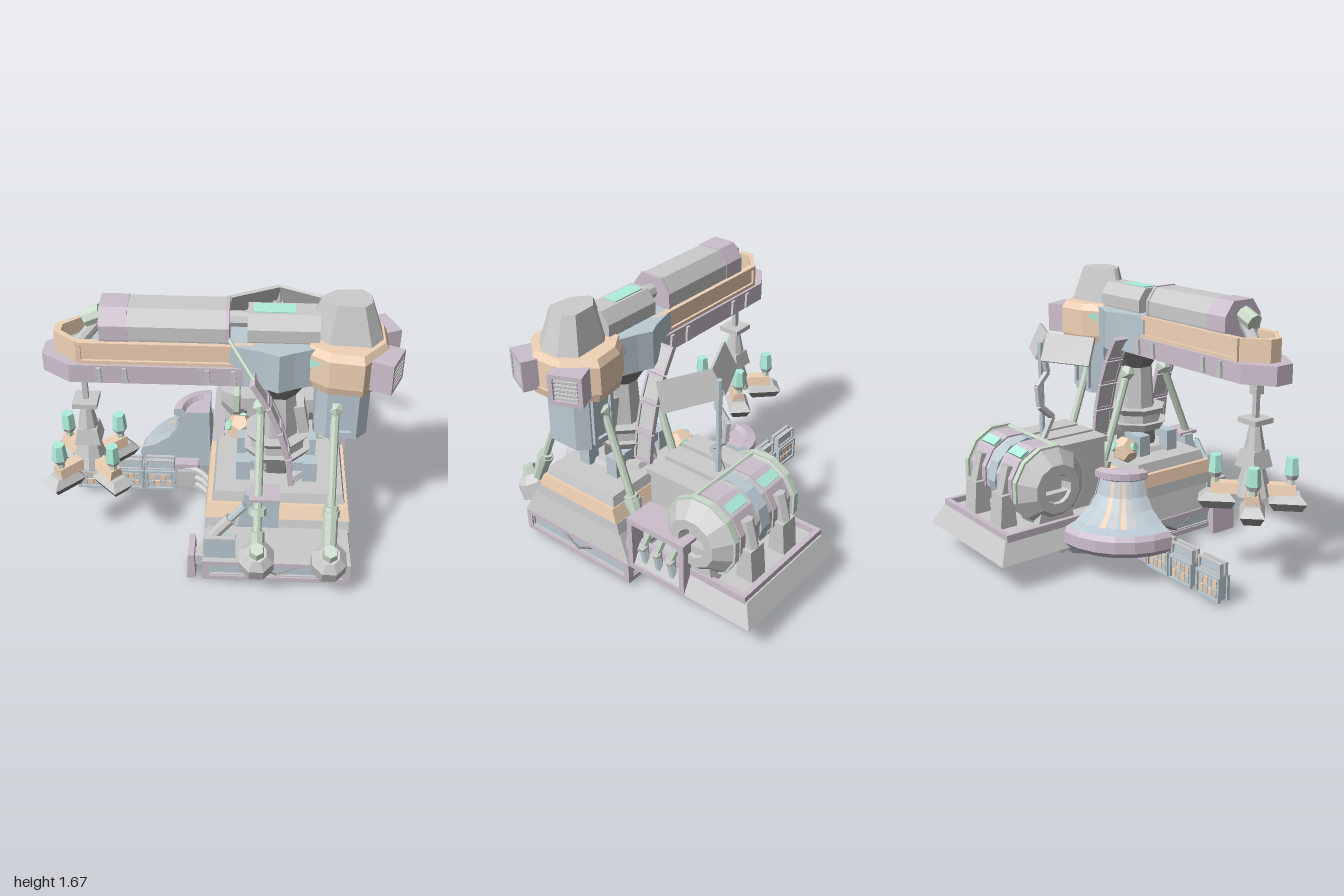
import * as THREE from 'three';

const mat = (c) => new THREE.MeshStandardMaterial({ color: c, flatShading: true, side: THREE.DoubleSide });
const GREY = mat(0xcccccc), MAUVE = mat(0xcdbfcd), TAN = mat(0xf0d2b6), BLUE = mat(0xbccbd4),
  GREEN = mat(0xcbdccb), TEAL = mat(0xb0f0dc), DARK = mat(0x808080);
const V = (x, y, z) => new THREE.Vector3(x, y, z);

function add(g, name, geo, m, p = [0, 0, 0], r = [0, 0, 0]) {
  const o = new THREE.Mesh(geo, m);
  o.name = name; o.position.set(...p); o.rotation.set(...r);
  g.add(o);
  return o;
}
function sub(g, name, p = [0, 0, 0], r = [0, 0, 0]) {
  const o = new THREE.Group();
  o.name = name; o.position.set(...p); o.rotation.set(...r);
  g.add(o);
  return o;
}
// box from its limits, with the top scaled by tx, tz
function box(g, name, m, x0, x1, y0, y1, z0, z1, tx = 1, tz = 1) {
  const geo = new THREE.BoxGeometry(x1 - x0, y1 - y0, z1 - z0), a = geo.attributes.position;
  for (let i = 0; i < a.count; i++) if (a.getY(i) > 0) { a.setX(i, a.getX(i) * tx); a.setZ(i, a.getZ(i) * tz); }
  return add(g, name, geo, m, [(x0 + x1) / 2, (y0 + y1) / 2, (z0 + z1) / 2]);
}
// upright prism over half a plan [x, z offset], mirrored about the line z = cz, top scaled about cx
const mirrored = (half) => [...half.map(([x, z]) => new THREE.Vector2(x, -z)), ...half.slice().reverse().map((q) => new THREE.Vector2(...q))];
function prism(g, name, m, half, cz, y0, y1, s = 1, cx = 0, hole = null) {
  const shape = new THREE.Shape(mirrored(half));
  if (hole) shape.holes.push(new THREE.Path(mirrored(hole)));
  const geo = new THREE.ExtrudeGeometry(shape, { depth: y1 - y0, bevelEnabled: false }).rotateX(-Math.PI / 2);
  const a = geo.attributes.position;
  for (let i = 0; i < a.count; i++) if (a.getY(i) > 0.001) { a.setX(i, cx + (a.getX(i) - cx) * s); a.setZ(i, a.getZ(i) * s); }
  return add(g, name, geo, m, [0, y0, cz]);
}
const cyl = (g, name, m, r1, r0, h, n, p, r) => add(g, name, new THREE.CylinderGeometry(r1, r0, h, n), m, p, r);
function rod(g, name, m, a, b, r, n = 6) {
  const d = b.clone().sub(a), o = cyl(g, name, m, r, r, d.length(), n, a.clone().add(b).multiplyScalar(0.5).toArray());
  o.quaternion.setFromUnitVectors(V(0, 1, 0), d.normalize());
  return o;
}
// rectangular frame facing +z
function frame(g, name, m, w, h, t, d, p, r) {
  const rect = (C, a, b) => new C([[-a, -b], [a, -b], [a, b], [-a, b]].map((q) => new THREE.Vector2(...q)));
  const s = rect(THREE.Shape, w / 2, h / 2);
  s.holes.push(rect(THREE.Path, w / 2 - t, h / 2 - t));
  return add(g, name, new THREE.ExtrudeGeometry(s, { depth: d, bevelEnabled: false }).translate(0, 0, -d / 2), m, p, r);
}
const profile = (pts) => new THREE.Shape(pts.map((q) => new THREE.Vector2(...q)));

function base(root) {
  const g = sub(root, 'base'), cx = 0.365, cz = 0.345;
  box(g, 'plinth', BLUE, -0.04, 0.77, 0.07, 0.18, -0.06, 0.75);
  // framed side panels with a chevron
  for (let i = 0; i < 4; i++) {
    const s = sub(g, 'sidePanel', [cx, 0.105, cz], [0, i * Math.PI / 2, 0]);
    frame(s, 'panelFrame', MAUVE, 0.85, 0.14, 0.03, 0.04, [0, 0, 0.405]);
    frame(s, 'panelInnerFrame', GREY, 0.77, 0.08, 0.008, 0.012, [0, 0, 0.41]);
    for (const k of [-1, 1]) rod(s, 'chevron', DARK, V(0, -0.03, 0.41), V(k * 0.13, 0.035, 0.41), 0.008, 4);
    rod(s, 'undersideRib', GREY, V(0, -0.06, 0.1), V(0, -0.06, 0.4), 0.025, 4);
    rod(s, 'undersideBrace', BLUE, V(0.1, -0.06, 0.1), V(0.39, -0.06, 0.39), 0.022, 4);
  }
  frame(g, 'undersideSquare', MAUVE, 0.3, 0.3, 0.04, 0.03, [cx, 0.05, cz], [Math.PI / 2, 0, 0]);
  cyl(g, 'centreFoot', DARK, 0.07, 0.03, 0.06, 8, [cx, 0.03, cz]);
  // stepped deck
  box(g, 'lowerSkirt', GREY, -0.06, 0.79, 0.18, 0.36, -0.08, 0.77, 0.93, 0.78);
  box(g, 'deckStep', GREY, -0.05, 0.77, 0.34, 0.41, 0.0, 0.67, 0.99, 0.95);
  box(g, 'deckBand', TAN, -0.05, 0.77, 0.41, 0.49, 0.02, 0.65, 0.97, 0.89);
  box(g, 'deckTop', GREY, -0.01, 0.74, 0.49, 0.55, 0.06, 0.6, 0.96, 0.94);
  for (const x of [0.05, 0.62]) box(g, 'skirtBlock', GREY, x, x + 0.07, 0.2, 0.3, 0.68, 0.76, 1, 0.5);
  for (const z of [0.12, 0.5]) box(g, 'skirtBlockSide', GREY, 0.7, 0.78, 0.2, 0.3, z, z + 0.07, 0.5, 1);
  // curved buttress on the front right corner
  add(g, 'buttress', new THREE.ExtrudeGeometry(profile([[-0.06, 0.19], [-0.04, 0.24], [0.06, 0.28], [0.14, 0.38],
    [0.18, 0.6], [0.37, 0.6], [0.37, 0.3], [0.3, 0.19]]), { depth: 0.07, bevelEnabled: false }), BLUE, [0, 0, 0.6]);
  box(g, 'buttressCap', MAUVE, 0.2, 0.37, 0.59, 0.61, 0.58, 0.72);
  rod(g, 'ram', GREY, V(0.0, 0.32, 0.7), V(0.1, 0.45, 0.7), 0.035, 8);
  rod(g, 'ramRod', BLUE, V(0.1, 0.45, 0.7), V(0.18, 0.55, 0.7), 0.022, 8);
  box(g, 'cornerPlate', MAUVE, -0.15, -0.1, 0.02, 0.2, 0.57, 0.75, 0.7, 1);
  box(g, 'cornerBracket', GREY, -0.12, -0.03, 0.08, 0.15, 0.62, 0.7);
  box(g, 'cornerBox', BLUE, -0.05, 0.13, 0.18, 0.33, 0.6, 0.76);
  frame(g, 'cornerBoxRim', GREY, 0.18, 0.16, 0.025, 0.02, [0.04, 0.335, 0.68], [Math.PI / 2, 0, 0]);
  // angled brackets round the mast
  for (const sx of [-1, 1]) for (const sz of [-1, 1]) {
    const x = 0.35 + sx * 0.19, z = 0.33 + sz * 0.11;
    box(g, 'bracketLeg', BLUE, x - 0.04, x + 0.04, 0.53, 0.68, z - 0.04, z + 0.04);
    box(g, 'bracketArm', BLUE, x - sx * 0.07 - 0.06, x - sx * 0.07 + 0.06, 0.62, 0.68, z - 0.03, z + 0.03);
  }
  // faceted ball
  add(g, 'facetBall', new THREE.DodecahedronGeometry(0.085), TAN, [0.13, 0.62, 0.07]);
  for (const [x, z] of [[0.06, 0.1], [0.16, 0], [0.2, 0.1]]) rod(g, 'ballLens', TEAL, V(0.13, 0.62, 0.07), V(x, 0.65, z), 0.03, 8);
}

function mast(root) {
  const g = sub(root, 'mast', [0.35, 0, 0.33]);
  for (const [r0, r1, y0, y1, m] of [[0.22, 0.19, 0.53, 0.58, GREY], [0.13, 0.13, 0.58, 0.7, DARK], [0.17, 0.2, 0.68, 0.73, GREY],
    [0.16, 0.16, 0.73, 0.79, GREY], [0.16, 0.19, 0.78, 0.82, GREY], [0.12, 0.1, 0.8, 1.1, GREY], [0.1, 0.19, 1.08, 1.22, DARK]])
    cyl(g, 'mastSection', m, r1, r0, y1 - y0, 8, [0, (y0 + y1) / 2, 0], [0, Math.PI / 8, 0]);
  // curved strips of framed panels on both flanks
  const c = new THREE.QuadraticBezierCurve3(V(0.2, 1.31, 0), V(0.4, 1.02, 0), V(0.43, 0.63, 0));
  for (const z of [0.56, 0.105]) for (let i = 0; i < 4; i++) {
    const a = c.getPoint(i / 4), b = c.getPoint((i + 1) / 4), L = a.distanceTo(b) - 0.01;
    const s = sub(root, 'stripPanel', [(a.x + b.x) / 2, (a.y + b.y) / 2, z], [0, 0, Math.atan2(b.x - a.x, a.y - b.y)]);
    box(s, 'stripPlate', GREY, -0.01, 0.005, -L / 2, L / 2, -0.06, 0.06);
    frame(s, 'stripFrame', MAUVE, 0.125, L, 0.015, 0.03, [0, 0, 0], [0, Math.PI / 2, 0]);
  }
  rod(root, 'hose', GREEN, V(0.07, 1.48, 0.44), V(0.21, 1.31, 0.57), 0.012);
  add(root, 'mastFlap', new THREE.BoxGeometry(0.06, 0.18, 0.12), GREY, [0.48, 0.92, 0.33], [0, 0, 0.2]);
}

function boom(root) {
  const g = sub(root, 'boom'), cz = 0.32;
  prism(g, 'lowerBeam', MAUVE, [[-0.94, 0.06], [-0.78, 0.17], [0.25, 0.17]], cz, 1.21, 1.32);
  // open trough that holds the ram housing
  prism(g, 'trough', TAN, [[-0.87, 0.04], [-0.74, 0.14], [0.2, 0.14]], cz, 1.32, 1.45, 1, 0, [[-0.83, 0.03], [-0.73, 0.115], [0.18, 0.115]]);
  prism(g, 'troughFloor', BLUE, [[-0.84, 0.03], [-0.73, 0.12], [0.18, 0.12]], cz, 1.31, 1.36);
  for (const s of [-1, 1]) {
    frame(g, 'beamFrame', TAN, 0.92, 0.13, 0.02, 0.02, [-0.27, 1.385, cz + s * 0.145]);
    for (const x of [-0.62, -0.48, -0.04, 0.1]) box(g, 'beamRib', GREY, x - 0.02, x + 0.02, 1.22, 1.31, cz + s * 0.175 - 0.01, cz + s * 0.175 + 0.01, 0.6);
  }
  rod(g, 'tipArm', GREY, V(-0.74, 1.36, cz), V(-0.58, 1.56, cz), 0.035, 8);
  rod(g, 'tipJoint', GREEN, V(-0.7, 1.51, cz), V(-0.61, 1.55, cz), 0.05, 8);
  const hull = [[-0.11, 1.36], [0.11, 1.36], [0.13, 1.46], [0.13, 1.54], [0.07, 1.62], [-0.07, 1.62], [-0.13, 1.54], [-0.13, 1.46]];
  const along = (name, m, x0, x1, k) => add(g, name, new THREE.ExtrudeGeometry(profile(hull.map(([z, y]) => [z * k, 1.44 + (y - 1.44) * k])),
    { depth: x1 - x0, bevelEnabled: false }), m, [x0, 0, cz], [0, Math.PI / 2, 0]);
  along('housing', GREY, -0.52, 0.07, 1);
  along('housingFront', MAUVE, -0.61, -0.46, 1.03);
  along('housingRear', MAUVE, 0.055, 0.075, 1.03);
  rod(g, 'ramShaft', GREY, V(0.06, 1.53, cz), V(0.2, 1.53, cz), 0.045, 8);
  along('rearHousing', GREY, 0.17, 0.55, 0.87);
  box(g, 'topWindow', TEAL, 0.2, 0.42, 1.585, 1.602, cz - 0.045, cz + 0.045);
  // turntable house and rear cab
  prism(g, 'turntableHouse', BLUE, [[0.08, 0.15], [0.26, 0.2], [0.34, 0.24], [0.42, 0.2], [0.55, 0.15]], cz, 1.22, 1.45);
  prism(g, 'rearCabLower', TAN, [[0.5, 0.14], [0.6, 0.22], [0.78, 0.24], [0.92, 0.1]], cz, 1.21, 1.26, 1.06, 0.7);
  prism(g, 'rearCab', TAN, [[0.48, 0.15], [0.6, 0.235], [0.78, 0.262], [0.92, 0.1]], cz, 1.26, 1.42);
  prism(g, 'rearCabUpper', TAN, [[0.48, 0.15], [0.6, 0.235], [0.78, 0.262], [0.92, 0.1]], cz, 1.42, 1.46, 0.9, 0.7);
  prism(g, 'cabTower', GREY, [[0.48, 0.02], [0.6, 0.13], [0.82, 0.15], [0.89, 0.06]], cz, 1.45, 1.67, 0.64, 0.68);
  for (const s of [-1, 1]) {
    add(g, 'cabWindow', new THREE.ShapeGeometry(profile([[0, 0], [0.08, 0.05], [0, 0.06]])), TEAL, [0.5, 1.35, cz + s * 0.182], [0, -s * 0.62, 0]);
    // louvred vents
    const v = sub(g, 'vent', [0.9, 1.335, cz + s * 0.155], [0, -s * 0.42, 0]);
    box(v, 'ventBox', DARK, -0.1, 0.05, -0.08, 0.08, -0.08, 0.08);
    frame(v, 'ventFrame', MAUVE, 0.19, 0.18, 0.025, 0.14, [0, 0, 0], [0, Math.PI / 2, 0]);
    for (let i = 0; i < 5; i++) box(v, 'ventSlat', GREY, 0.04, 0.068, -0.056 + i * 0.025, -0.044 + i * 0.025, -0.065, 0.065);
  }
  // counterweight
  prism(g, 'counterweight', BLUE, [[0.55, 0.1], [0.61, 0.16], [0.78, 0.16], [0.84, 0.1]], cz, 0.87, 1.22);
  for (const s of [-1, 1]) frame(g, 'weightFrame', BLUE, 0.16, 0.3, 0.025, 0.03, [0.69, 1.05, cz + s * 0.165]);
}

function hook(root) {
  const g = sub(root, 'hook', [-0.735, 0, 0.32]);
  box(g, 'cable', GREY, -0.015, 0.015, 0.97, 1.21, -0.015, 0.015);
  box(g, 'cableSheath', GREY, -0.028, 0.028, 1.12, 1.21, -0.028, 0.028);
  box(g, 'collar', GREY, -0.07, 0.07, 0.955, 0.985, -0.07, 0.07);
  cyl(g, 'neck', GREY, 0.03, 0.06, 0.16, 8, [0, 0.88, 0]);
  box(g, 'body', GREY, -0.075, 0.075, 0.7, 0.8, -0.075, 0.075, 0.75, 0.75);
  cyl(g, 'hub', GREY, 0.06, 0.11, 0.17, 8, [0, 0.62, 0]);
  for (let i = 0; i < 4; i++) {
    const a = sub(g, 'hookArm', [0, 0, 0], [0, Math.PI / 4 + i * Math.PI / 2, 0]);
    box(a, 'armBeam', TAN, 0.05, 0.24, 0.54, 0.6, -0.045, 0.045, 1, 0.7);
    box(a, 'padTop', GREY, 0.09, 0.31, 0.5, 0.545, -0.07, 0.07, 0.6, 0.6);
    box(a, 'padBottom', DARK, 0.12, 0.28, 0.45, 0.5, -0.045, 0.045, 1.35, 1.5);
    cyl(a, 'lampStem', GREEN, 0.02, 0.03, 0.1, 6, [0.215, 0.6, 0]);
    cyl(a, 'lampBase', GREY, 0.045, 0.03, 0.03, 6, [0.215, 0.645, 0]);
    cyl(a, 'lamp', TEAL, 0.035, 0.045, 0.1, 6, [0.215, 0.71, 0]);
  }
}

function struts(root) {
  for (const x of [0.25, 0.655]) for (const s of [-1, 1]) {
    const g = sub(root, 'strut', [x, 0, 0.325]), top = V(0, 1.07, s * 0.145), foot = V(0, 0.34, s > 0 ? 0.46 : -0.4);
    const at = (t) => foot.clone().lerp(top, t);
    add(g, 'strutBall', new THREE.IcosahedronGeometry(0.05, 0), GREEN, top.toArray());
    rod(g, 'strutRod', GREEN, foot, top, 0.024, 8);
    rod(g, 'strutSleeve', GREEN, at(0.02), at(x > 0.5 ? 0.3 : 0.1), 0.042, 8);
    rod(g, 'strutCollar', GREEN, at(0.22), at(0.27), 0.05, 8);
    // octagonal foot
    const f = sub(g, 'foot', [0, 0.27, s > 0 ? 0.5 : -0.4], [s * 0.4, 0, 0]), turn = [0, Math.PI / 8, 0];
    cyl(f, 'footBlock', GREY, 0.105, 0.105, 0.1, 8, [0, -0.02, 0], turn);
    cyl(f, 'footTop', GREY, 0.06, 0.105, 0.05, 8, [0, 0.055, 0], turn);
    cyl(f, 'footCap', GREEN, 0.04, 0.05, 0.06, 6, [0, 0.1, 0]);
  }
}

function winch(root) {
  const g = sub(root, 'winch'), c = [0.375, 0.53, -0.515];
  box(g, 'winchSkirt', GREY, -0.06, 0.79, 0.18, 0.3, -0.94, -0.08, 0.86, 0.86);
  frame(g, 'winchRim', MAUVE, 0.74, 0.74, 0.03, 0.06, [0.365, 0.305, -0.5], [Math.PI / 2, 0, 0]);
  // hollow-ended drum turned round the x axis
  const half = [[0.22, 0], [0.22, 0.25], [0.235, 0.26], [0.235, 0.29], [0.15, 0.375], [0.09, 0.375], [0.075, 0.3], [0, 0.3]];
  cyl(g, 'drumCentreBand', BLUE, 0.228, 0.228, 0.08, 12, c, [0, 0, Math.PI / 2]);
  for (const s of [-1, 1]) {
    const d = sub(g, 'drumHalf', c, [0, 0, -s * Math.PI / 2]);
    add(d, 'drum', new THREE.LatheGeometry(half.map((q) => new THREE.Vector2(...q)), 12), GREY, [0, 0, 0], [0, Math.PI / 12, 0]);
    cyl(d, 'drumBand', MAUVE, 0.23, 0.23, 0.15, 12, [0, 0.15, 0], [0, Math.PI / 12, 0]);
    cyl(d, 'drumRing', GREEN, 0.245, 0.245, 0.035, 12, [0, 0.275, 0], [0, Math.PI / 12, 0]);
    const x = c[0] + s * 0.15;
    box(g, 'drumWindow', TEAL, x - 0.07, x + 0.07, 0.715, 0.733, -0.67, -0.61).rotation.x = -0.58;
    box(g, 'drumClamp', GREY, x - 0.06, x + 0.06, 0.3, 0.5, -0.81, -0.7, 1, 0.7);
    rod(g, 'clampArm', GREY, V(x, 0.49, -0.76), V(x, 0.66, -0.715), 0.04);
    box(g, 'drumCradle', GREY, c[0] + s * 0.31 - 0.04, c[0] + s * 0.31 + 0.04, 0.28, 0.5, -0.65, -0.38, 1, 0.6);
  }
  rod(g, 'crossRail', GREEN, V(0.1, 0.75, -0.45), V(0.65, 0.75, -0.45), 0.014);
  // cable guides from the drum to the mast
  for (const x of [0.2, 0.36, 0.52]) {
    box(g, 'cableGuide', GREY, x - 0.03, x + 0.03, 0.3, 0.72, -0.42, -0.06);
    box(g, 'cableTray', GREY, x - 0.065, x + 0.065, 0.7, 0.735, -0.44, -0.06);
  }
  // framed bay on the left side with machinery inside
  frame(g, 'bayFrame', MAUVE, 0.41, 0.35, 0.035, 0.2, [0.69, 0.345, -0.29], [0, Math.PI / 2, 0]);
  box(g, 'bayBack', DARK, 0.6, 0.62, 0.19, 0.5, -0.48, -0.1);
  for (const z of [-0.19, -0.29, -0.39]) {
    rod(g, 'bayArmLower', BLUE, V(0.74, 0.21, z), V(0.75, 0.33, z + 0.02), 0.028);
    rod(g, 'bayArmUpper', GREEN, V(0.75, 0.33, z + 0.02), V(0.73, 0.45, z - 0.02), 0.02);
    add(g, 'bayJoint', new THREE.IcosahedronGeometry(0.035), GREY, [0.75, 0.33, z + 0.02]);
  }
  cyl(g, 'underPod', BLUE, 0.17, 0.09, 0.12, 8, [0.14, 0.11, -0.27], [0, Math.PI / 8, 0]);
  for (const s of [-1, 1]) rod(g, 'podPipe', GREY, V(0.14, 0.07, -0.27 + s * 0.13), V(0.14, 0.17, -0.27 + s * 0.19), 0.025);
  // jointed post with a pair of leaning screens
  rod(g, 'screenPost', BLUE, V(0.35, 0.72, -0.39), V(0.35, 1.32, -0.39), 0.018);
  const zig = [[0.73, -0.4], [0.86, -0.33], [0.94, -0.42], [1.06, -0.43], [1.14, -0.36], [1.24, -0.38]].map(([y, z]) => V(0.33, y, z));
  zig.slice(1).forEach((p, i) => rod(g, 'jointedArm', GREY, zig[i], p, 0.022));
  for (const s of [-1, 1]) box(sub(g, 'screen', [0.35 + s * 0.155, 1.29, -0.3], [0, -s * 0.45, 0]), 'screenPlate', GREY,
    -0.16, 0.16, -0.085, 0.085, -0.01, 0.01).rotation.x = 0.45;
}

function quarterTower(root) {
  const g = sub(root, 'quarterTower', [-0.06, 0, -0.08]);
  const prof = [[0, 0.18], [0.4, 0.18], [0.44, 0.22], [0.44, 0.29], [0.42, 0.32], [0.35, 0.34], [0.26, 0.4], [0.21, 0.47], [0.18, 0.56],
    [0.22, 0.58], [0.22, 0.62], [0.17, 0.63], [0.15, 0.6], [0, 0.6]];
  const turn = (name, m, p, a, b, n, k = 0) => add(g, name, new THREE.LatheGeometry(p.map(([r, y]) => new THREE.Vector2(r + k, y)), n, a, b - a), m);
  const P = Math.PI;
  turn('towerFloor', BLUE, prof.slice(0, 2), P, 1.5 * P, 6);
  turn('towerFlange', MAUVE, prof.slice(1, 5), P, 1.5 * P, 6);
  turn('towerWall', BLUE, prof.slice(4, 9), P, 1.5 * P, 6);
  turn('towerTop', MAUVE, prof.slice(8), P, 1.5 * P, 6);
  for (let i = 0; i < 4; i++) turn('towerStripe', i % 2 ? GREY : TAN, prof.slice(5, 9), 1.16 * P + i * 0.17, 1.16 * P + i * 0.17 + 0.1, 1, 0.012);
  for (const a of [1, 1.08, 1.42, 1.49]) turn('towerRib', GREY, prof.slice(4, 9), a * P, a * P + 0.03, 1, 0.012);
  const cap = new THREE.ShapeGeometry(profile(prof));
  for (const a of [P, P / 2]) add(g, 'towerCap', cap, BLUE, [0, 0, 0], [0, a, 0]);
}

function barriers(root) {
  for (const x of [-0.81, -0.58, -0.375]) {
    const g = sub(root, 'barrier', [x, 0, -0.045]);
    box(g, 'barrierBody', BLUE, -0.085, 0.085, 0.04, 0.18, -0.03, 0.03);
    box(g, 'barrierScreen', BLUE, -0.085, 0.085, 0.18, 0.25, -0.02, 0.02, 0.85, 0.7);
    for (const s of [-1, 1]) {
      frame(g, 'barrierFrame', BLUE, 0.19, 0.15, 0.014, 0.02, [0, 0.107, s * 0.033]);
      frame(g, 'screenFrame', GREY, 0.18, 0.08, 0.012, 0.02, [0, 0.22, s * 0.02]);
      for (let i = 0; i < 8; i++) box(g, 'barrierTile', i % 2 ^ (i > 3) ? TAN : GREY, -0.07 + (i % 4) * 0.036, -0.038 + (i % 4) * 0.036,
        0.055 + (i > 3) * 0.055, 0.1 + (i > 3) * 0.055, s * 0.032 - 0.006, s * 0.032 + 0.006);
    }
  }
  // hinge unit joining the row to the base
  box(root, 'hingeUnit', MAUVE, -0.28, -0.13, 0.05, 0.24, -0.09, -0.01);
  box(root, 'hingePlate', GREY, -0.26, -0.15, 0.08, 0.2, -0.02, 0.01);
  for (const y of [0.08, 0.14, 0.2]) add(root, 'hingePipe', new THREE.TubeGeometry(
    new THREE.QuadraticBezierCurve3(V(-0.24, y, -0.03), V(-0.1, y, -0.03), V(-0.04, y, 0.12)), 8, 0.022, 6), GREY);
}

export function createModel() {
  const root = new THREE.Group();
  root.name = 'craneStation';
  [base, mast, boom, hook, struts, winch, quarterTower, barriers].forEach((f) => f(root));
  return root;
}
